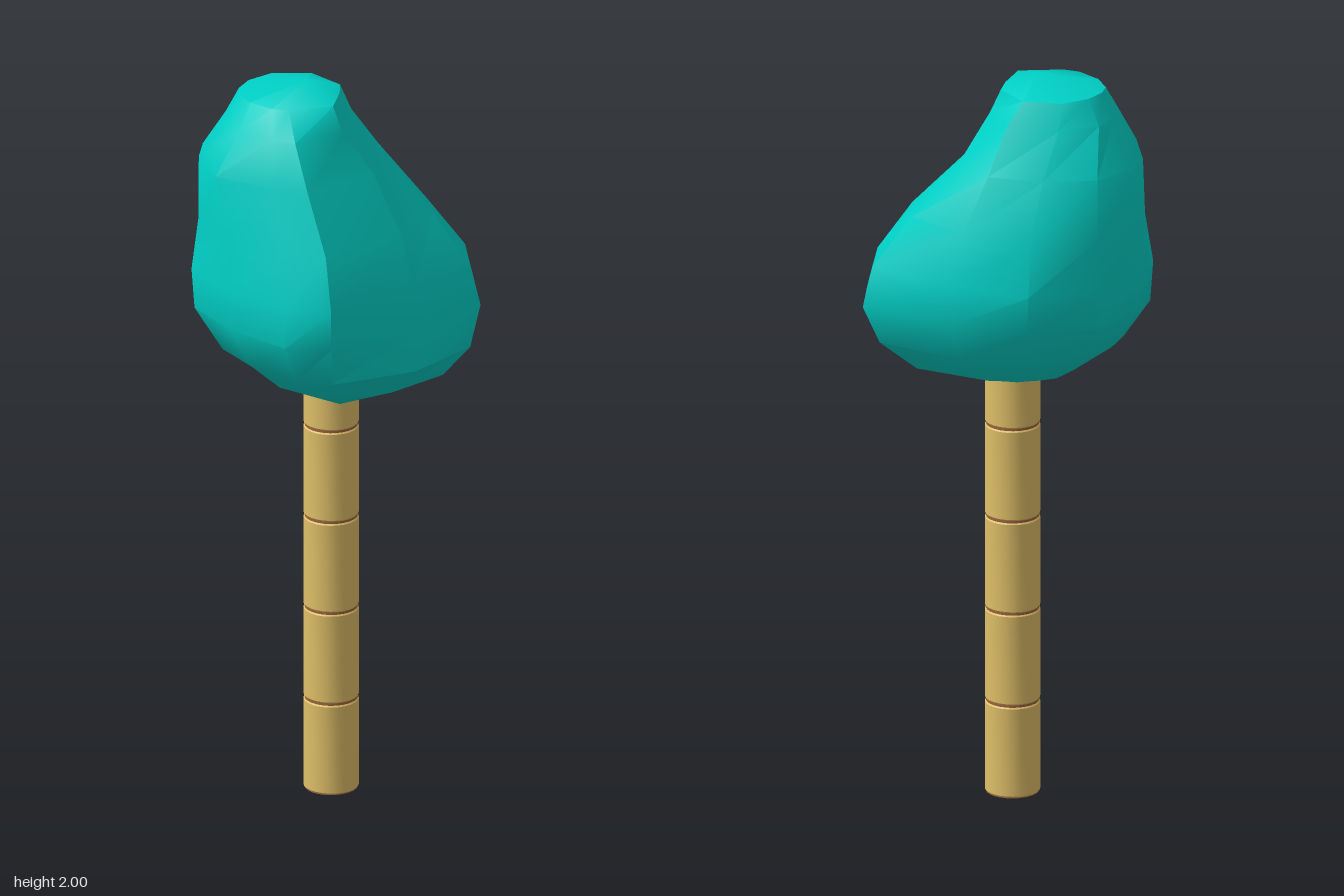
import * as THREE from 'three';
import { toCreasedNormals } from 'three/addons/utils/BufferGeometryUtils.js';

const leaf = new THREE.MeshStandardMaterial({ name: 'teal foliage', color: 0x00d0c6 });
const bark = new THREE.MeshStandardMaterial({ name: 'tan bark', color: 0xdfbf68 });
const pith = new THREE.MeshStandardMaterial({ name: 'brown joints', color: 0xa0633f });

// Directions (degrees, from +x towards +z) of the crown's vertical edges
const ANGLES = [90, 40, 0, -25, -70, -112, -145, -170, -188, -217, -250];
// Crown cross-sections from low to high: height, centre x and z, radius per direction
const RINGS = [
  { y: 1.18, x: 0, z: 0, r: [0.18, 0.2, 0.28, 0.25, 0.16, 0.16, 0.18, 0.18, 0.18, 0.18, 0.17] },
  { y: 1.26, x: 0, z: 0, r: [0.283, 0.28, 0.352, 0.35, 0.25, 0.26, 0.29, 0.29, 0.3, 0.27, 0.275] },
  { y: 1.37, x: 0, z: -0.025, r: [0.34, 0.3, 0.378, 0.39, 0.275, 0.305, 0.345, 0.36, 0.375, 0.34, 0.355] },
  { y: 1.48, x: 0, z: -0.025, r: [0.352, 0.275, 0.35, 0.365, 0.28, 0.328, 0.36, 0.368, 0.383, 0.345, 0.345] },
  { y: 1.62, x: -0.015, z: -0.04, r: [0.33, 0.25, 0.268, 0.27, 0.24, 0.285, 0.335, 0.355, 0.35, 0.325, 0.315] },
  { y: 1.78, x: -0.065, z: -0.06, r: [0.295, 0.215, 0.165, 0.185, 0.2, 0.215, 0.265, 0.295, 0.3, 0.31, 0.28] },
  { y: 1.9, x: -0.1, z: -0.01, r: [0.195, 0.155, 0.135, 0.15, 0.195, 0.195, 0.205, 0.195, 0.19, 0.19, 0.175] },
  { y: 1.965, x: -0.12, z: -0.02, r: [0.13, 0.15, 0.128, 0.14, 0.145, 0.145, 0.14, 0.14, 0.14, 0.13, 0.13] },
];

function crownGeometry(bottom, top) {
  const n = ANGLES.length;
  const points = [];
  for (const ring of RINGS) {
    ANGLES.forEach((deg, j) => {
      const a = THREE.MathUtils.degToRad(deg);
      points.push(ring.x + ring.r[j] * Math.cos(a), ring.y, ring.z + ring.r[j] * Math.sin(a));
    });
  }
  const low = points.length / 3;
  const high = low + 1;
  points.push(...bottom, ...top);

  const faces = [];
  const last = (RINGS.length - 1) * n;
  for (let j = 0; j < n; j++) {
    const k = (j + 1) % n;
    faces.push(low, k, j, last + j, last + k, high);
    for (let i = 0; i < last; i += n) {
      faces.push(i + j, i + k, i + n + k, i + j, i + n + k, i + n + j);
    }
  }
  const geometry = new THREE.BufferGeometry();
  geometry.setAttribute('position', new THREE.Float32BufferAttribute(points, 3));
  geometry.setIndex(faces);
  return toCreasedNormals(geometry, 0.68);
}

export function createModel() {
  const model = new THREE.Group();
  model.name = 'tree';

  // Faceted crown
  const crown = new THREE.Mesh(crownGeometry([0.01, 1.105, 0.03], [-0.08, 2, -0.02]), leaf);
  crown.name = 'crown';
  model.add(crown);

  // Jointed trunk: bevelled segments around a brown core
  const trunk = new THREE.Group();
  trunk.name = 'trunk';
  trunk.position.set(-0.015, 0, -0.035);
  model.add(trunk);

  const core = new THREE.Mesh(new THREE.CylinderGeometry(0.07, 0.07, 1.27, 24), pith);
  core.name = 'trunkCore';
  core.position.y = 0.635;
  trunk.add(core);

  const pitch = 0.257;
  const profile = [[0.069, 0.001], [0.073, 0.006], [0.073, pitch - 0.008], [0.069, pitch - 0.003]];
  const segment = toCreasedNormals(
    new THREE.LatheGeometry(profile.map(([r, y]) => new THREE.Vector2(r, y)), 24), 0.5);
  for (let i = 0; i < 5; i++) {
    const mesh = new THREE.Mesh(segment, bark);
    mesh.name = 'trunkSegment';
    mesh.position.y = i * pitch;
    trunk.add(mesh);
  }
  return model;
}
